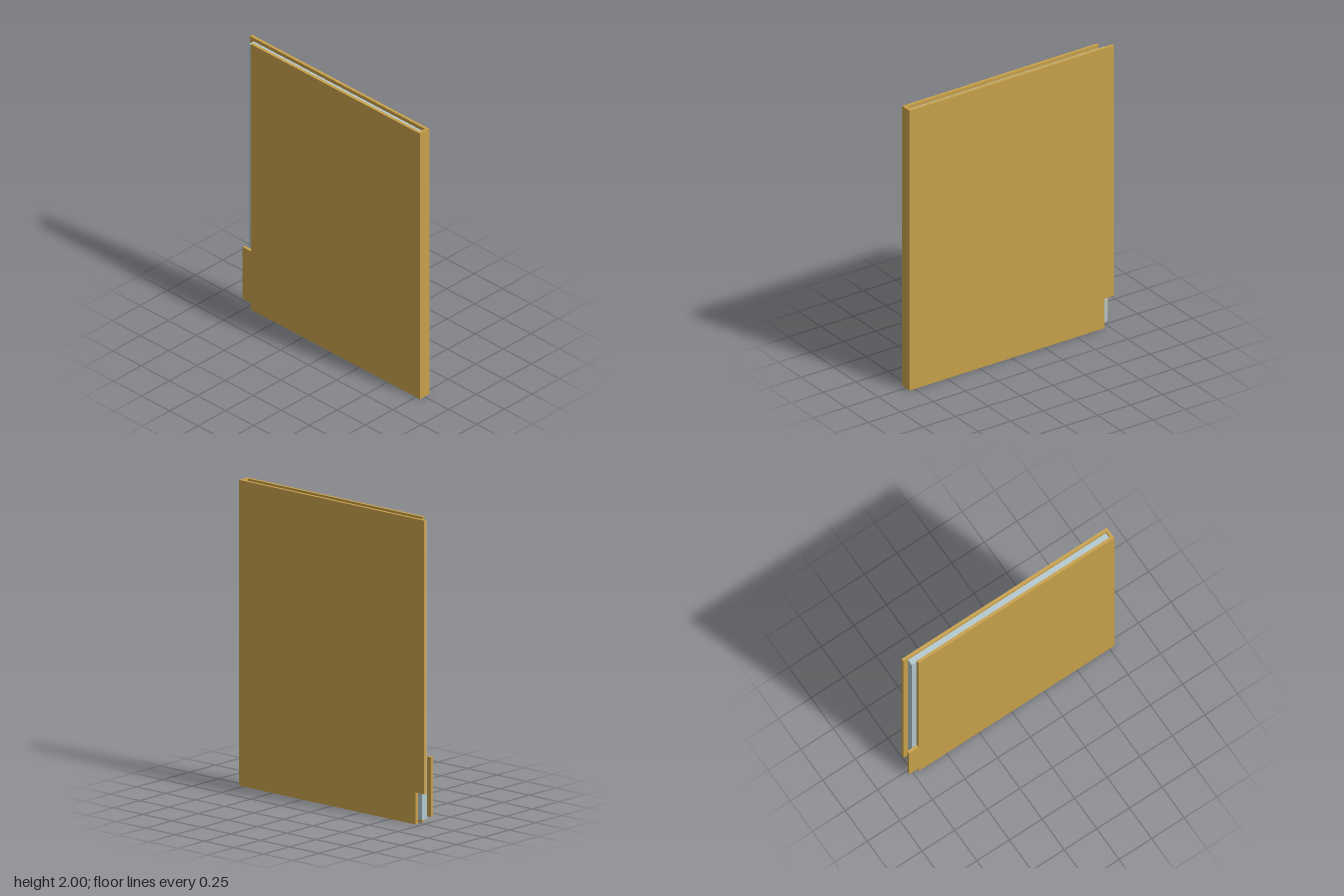
import * as THREE from 'three';

export function createModel() {
  const wood = new THREE.MeshStandardMaterial({ color: 0xc8a04a });
  wood.name = 'wood sheathing';
  const foam = new THREE.MeshStandardMaterial({ color: 0xb2c8ce });
  foam.name = 'insulation core';

  const group = new THREE.Group();
  group.name = 'wallPanel';

  const X = 0.787, NOTCH = -0.715, H = 2;
  const HALF = 0.042, INNER = 0.022; // outer and inner faces of the sheets

  const add = (name, geometry, material) => {
    const mesh = new THREE.Mesh(geometry, material);
    mesh.name = name;
    group.add(mesh);
  };

  // Sheet outline: the right-hand edge tongue runs only from low to high
  const sheet = (name, low, high, z) => {
    const points = [[NOTCH, 0], [X, 0], [X, H], [NOTCH, H], [NOTCH, high], [-X, high], [-X, low], [NOTCH, low]];
    if (high === H) points.splice(3, 2); // tongue reaches the top
    const shape = new THREE.Shape(points.map(([x, y]) => new THREE.Vector2(x, y)));
    const geometry = new THREE.ExtrudeGeometry(shape, { depth: HALF - INNER, bevelEnabled: false });
    add(name, geometry.translate(0, 0, z), wood);
  };

  const box = (name, x0, x1, y0, y1, material) => {
    const geometry = new THREE.BoxGeometry(x1 - x0, y1 - y0, 2 * INNER);
    add(name, geometry.translate((x0 + x1) / 2, (y0 + y1) / 2, 0), material);
  };

  sheet('frontSheet', 0.05, 0.44, INNER);
  sheet('backSheet', 0.21, H, -HALF);

  // Edge strip joining both sheets, and the core recessed on the other sides
  box('endStrip', X - 0.02, X, 0, H, wood);
  box('core', -0.752, X - 0.02, 0.03, 1.975, foam);

  return group;
}
